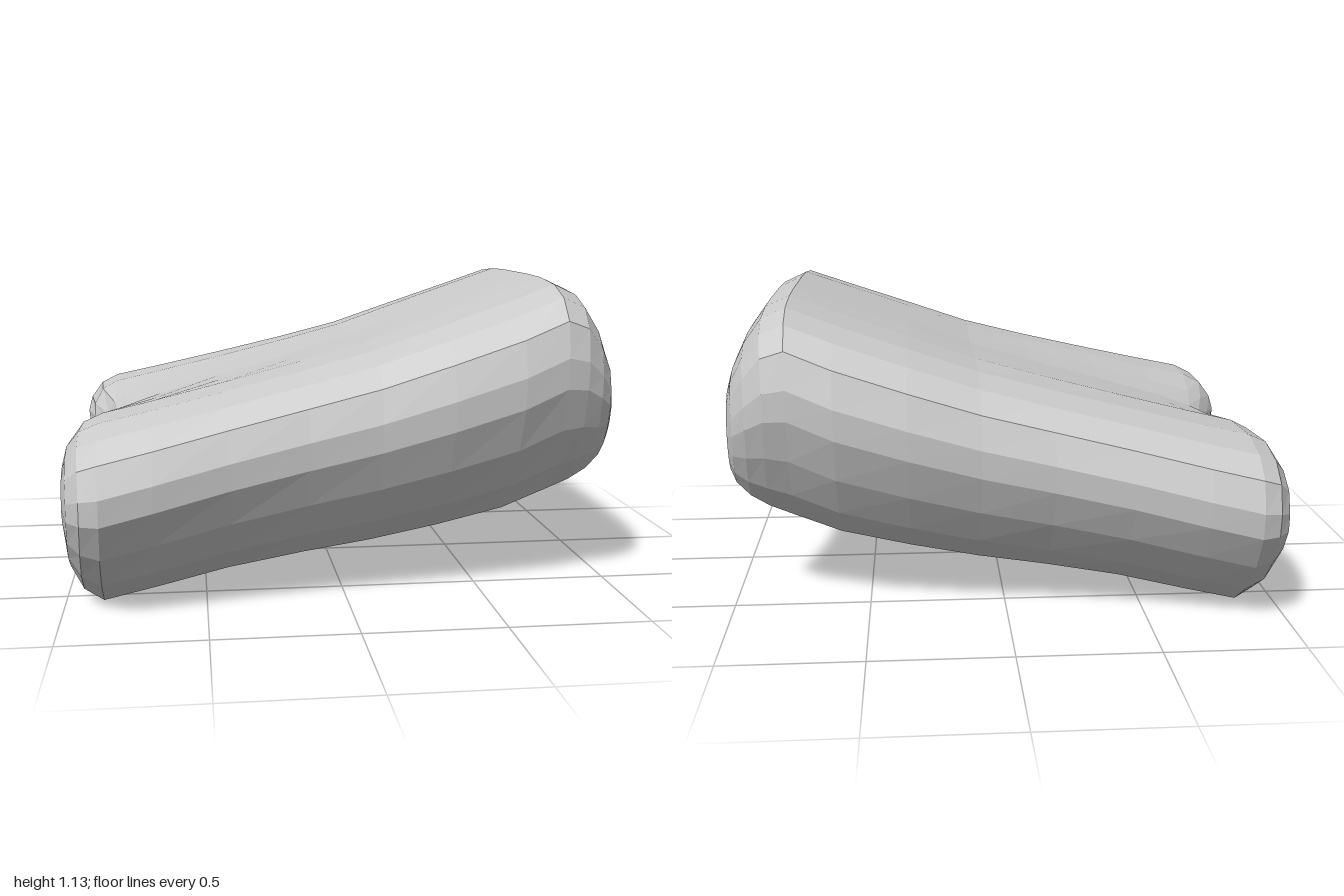
import * as THREE from 'three';

// Half of the arch profile, from the centre line down to the foot.
// Upper: [z as a share of the half width, height as a share of foot-to-top]
const UPPER = [[0, 1], [0.22, 1], [0.45, 0.995], [0.68, 0.975], [0.85, 0.925],
  [0.96, 0.83], [1, 0.67]];
// Lower: [z as a share of tip-to-half-width, height as a share of foot-to-top]
const LOWER = [[0.97, 0.53], [0.74, 0.33], [0.4, 0.14], [0, 0]];
// Inner: [z as a share of the tip, height as a share of foot-to-arch]
const INNER = [[0, 1], [0.11, 0.98], [0.23, 0.9], [0.37, 0.75], [0.5, 0.59],
  [0.61, 0.43], [0.71, 0.28], [0.8, 0.15], [0.87, 0.07], [0.92, 0.02], [0.96, 0]];

// Stations along the length: x, top, foot, arch height, half width, fullness
const STATIONS = [
  [-1.0, 0.56, 0.25, 0.46, 0.87, 0.5],
  [-0.985, 0.6, 0.13, 0.45, 0.89, 0.78],
  [-0.94, 0.645, 0.045, 0.445, 0.91, 0.94],
  [-0.87, 0.67, 0.0, 0.45, 0.92, 1],
  [-0.68, 0.71, 0.04, 0.48, 0.905, 1],
  [-0.42, 0.77, 0.1, 0.53, 0.87, 1],
  [-0.15, 0.835, 0.145, 0.58, 0.84, 1],
  [0.1, 0.9, 0.18, 0.625, 0.825, 1],
  [0.35, 0.985, 0.225, 0.67, 0.825, 1],
  [0.6, 1.07, 0.28, 0.71, 0.81, 1],
  [0.77, 1.13, 0.345, 0.735, 0.78, 1],
  [0.86, 1.095, 0.38, 0.745, 0.76, 0.97],
  [0.93, 1.01, 0.42, 0.75, 0.73, 0.88],
  [0.98, 0.92, 0.47, 0.76, 0.69, 0.7],
  [1.0, 0.87, 0.52, 0.77, 0.65, 0.45],
];

const H = INNER.length; // points in half a profile
const M = 2 * H - 1; // points from foot to foot
const lerp = THREE.MathUtils.lerp;

// One closed ring: outer points foot to foot, then the inner points back
function ring([x, top, foot, arch, width, full]) {
  const outer = [], inner = [];
  const endWeight = Math.max(0, (Math.abs(x) - 0.5) / 0.5) ** 2;
  const tip = 0.525 - 0.035 * x; // the legs draw together towards the high end
  const sag = 0.045 * Math.max(0, 0.5 - x);
  const place = (z, y) => {
    let dx = (x < 0 ? 0.02 : 0.06) * endWeight * (z / 0.8) ** 4; // corners
    if (x < 0) dx += 0.14 * endWeight * Math.exp(-(((z + 0.05) / 0.28) ** 2)); // notch
    return [x - Math.sign(x) * dx, y, z];
  };
  for (let k = 0; k < M; k++) {
    const i = Math.abs(k - (H - 1));
    const side = k < H ? 1 : -1;
    const isUpper = i < UPPER.length;
    const [oz, oy] = isUpper ? UPPER[i] : LOWER[i - UPPER.length];
    const zo = isUpper ? oz * width : lerp(tip, width, oz);
    const zi = INNER[i][0] * tip;
    const yo = lerp(foot, top, oy) - sag * Math.exp(-((zo / 0.35) ** 2));
    const yi = lerp(foot, arch, INNER[i][1]);
    const zm = (zo + zi) / 2, ym = (yo + yi) / 2;
    outer.push(place(side * lerp(zm, zo, full), lerp(ym, yo, full)));
    inner.push(place(side * lerp(zm, zi, full), lerp(ym, yi, full)));
  }
  return [...outer, ...inner.reverse()];
}

// Skin the rings and close both ends with strips between outer and inner
function archGeometry() {
  const R = 2 * M, index = [];
  const quad = (a, b, c, d) => index.push(a, b, c, a, c, d);
  for (let s = 0; s < STATIONS.length - 1; s++) {
    for (let j = 0; j < R; j++) {
      const a = s * R + j, b = s * R + (j + 1) % R;
      quad(a, a + R, b + R, b);
    }
  }
  const last = (STATIONS.length - 1) * R;
  for (let k = 0; k < M - 1; k++) {
    const n = R - 1 - k;
    quad(last + k, last + n, last + n - 1, last + k + 1);
    quad(k, k + 1, n - 1, n);
  }
  const geometry = new THREE.BufferGeometry();
  geometry.setAttribute('position',
    new THREE.Float32BufferAttribute(STATIONS.flatMap(ring).flat(), 3));
  geometry.setIndex(index);
  geometry.computeVertexNormals();
  return geometry;
}

export function createModel() {
  const group = new THREE.Group();
  group.name = 'archedPad';
  const body = new THREE.Mesh(archGeometry(),
    new THREE.MeshStandardMaterial({ color: 0xcccccc, flatShading: true }));
  body.name = 'archedBody';
  group.add(body);
  return group;
}
